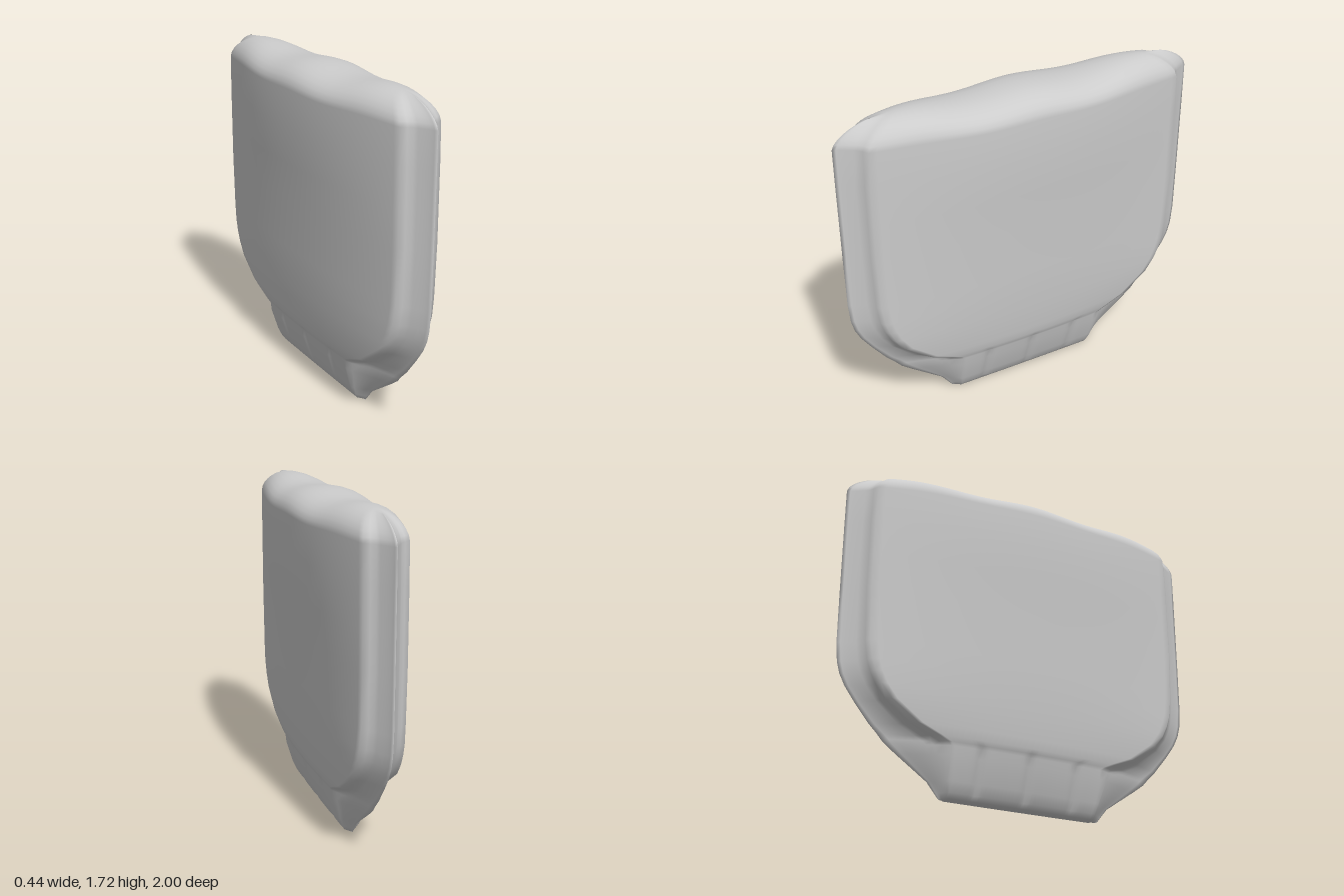
import * as THREE from 'three';
import { mergeVertices } from 'three/addons/utils/BufferGeometryUtils.js';

// Key slices: [height, half width to rim, half width to welt,
//   half thickness at middle, half thickness at welt]
const SLICES = [
  [0.00, 0.43, 0.39, 0, 0],
  [0.005, 0.44, 0.40, 0.03, 0.028],
  [0.03, 0.46, 0.40, 0.052, 0.048],
  [0.08, 0.50, 0.41, 0.076, 0.07],
  [0.20, 0.67, 0.42, 0.116, 0.105],
  [0.245, 0.73, 0.42, 0.122, 0.11],
  [0.262, 0.745, 0.44, 0.132, 0.117],
  [0.285, 0.765, 0.49, 0.14, 0.12],
  [0.33, 0.81, 0.60, 0.149, 0.122],
  [0.43, 0.89, 0.74, 0.161, 0.12],
  [0.50, 0.94, 0.795, 0.167, 0.117],
  [0.56, 0.97, 0.825, 0.172, 0.115],
  [0.62, 0.986, 0.845, 0.176, 0.113],
  [0.72, 0.995, 0.86, 0.182, 0.11],
  [1.00, 0.998, 0.87, 0.193, 0.11],
  [1.20, 0.999, 0.87, 0.207, 0.11],
  [1.40, 1.00, 0.87, 0.219, 0.11],
  [1.59, 1.00, 0.865, 0.217, 0.11],
];
const INNER = 48, FLANGE = 8, CAP = 7;
const { smoothstep } = THREE.MathUtils;

// Rounded top: the last slice shrinks along a quarter ellipse to a ridge
function withCap(slices) {
  const [y, w, wi, mid, edge] = slices.at(-1);
  const cap = [];
  for (let i = 1; i <= CAP; i++) {
    const angle = (Math.PI / 2) * (i / CAP);
    const c = i === CAP ? 0 : Math.cos(angle);
    const width = 1 - 0.2 * Math.pow(1 - c, 0.8);
    const thick = Math.pow(c, 0.9);
    cap.push([y + 0.118 * Math.sin(angle), w * width, wi * width, mid * thick, edge * thick]);
  }
  return [...slices, ...cap];
}

// Positions across a slice, from the +z rim to the -z rim
function acrossSlice(w, wi) {
  const zs = [];
  for (let i = 0; i < FLANGE; i++) zs.push(w + (wi - w) * (i / FLANGE));
  for (let i = 0; i <= INNER; i++) zs.push(wi - 2 * wi * (i / INNER));
  for (let i = 1; i <= FLANGE; i++) zs.push(-wi - (w - wi) * (i / FLANGE));
  return zs;
}

// Half thickness: bulging middle, then a welt step and a tapering flange
function halfThickness(z, [y, w, wi, mid, edge]) {
  const a = Math.abs(z);
  if (a > wi) {
    const s = Math.min(1, (a - wi) / (w - wi));
    const step = 0.25 * smoothstep(y, 0.245, 0.285);
    return edge * (1 - step * smoothstep(s, 0, 0.25)) * Math.pow(1 - s, 1.2);
  }
  let t = mid + (edge - mid) * Math.pow(a / wi, 2.1);
  // Three pleats in the lower panel
  const fade = smoothstep(y, 0, 0.04) * (1 - smoothstep(y, 0.23, 0.265));
  for (const p of [-0.265, 0, 0.265]) {
    t -= 0.012 * fade * Math.exp(-(((z - p) / 0.02) ** 2));
  }
  return t;
}

// Closed rings stacked upward, with a gentle wave along the top
function pouchGeometry() {
  const slices = withCap(SLICES);
  const ring = 2 * (INNER + 2 * FLANGE);
  const pos = [], index = [];
  for (const slice of slices) {
    const zs = acrossSlice(slice[1], slice[2]);
    const lift = 0.009 * smoothstep(slice[0], 1.5, 1.7);
    const put = (side, z) => pos.push(side * halfThickness(z, slice),
      slice[0] + lift * (Math.cos(z * 10.2) - 0.4 * z), z);
    zs.forEach((z) => put(1, z));
    zs.slice(1, -1).reverse().forEach((z) => put(-1, z));
  }
  for (let r = 0; r < slices.length - 1; r++) {
    for (let i = 0; i < ring; i++) {
      const a = r * ring + i, b = r * ring + (i + 1) % ring;
      index.push(a, b, b + ring, a, b + ring, a + ring);
    }
  }
  const geo = new THREE.BufferGeometry();
  geo.setAttribute('position', new THREE.Float32BufferAttribute(pos, 3));
  geo.setIndex(index);
  const merged = mergeVertices(geo, 1e-5);
  merged.computeVertexNormals();
  return merged;
}

export function createModel() {
  const group = new THREE.Group();
  group.name = 'pouch';
  const body = new THREE.Mesh(pouchGeometry(), new THREE.MeshStandardMaterial({ color: 0xcccccc }));
  body.name = 'pouchBody';
  group.add(body);
  return group;
}
